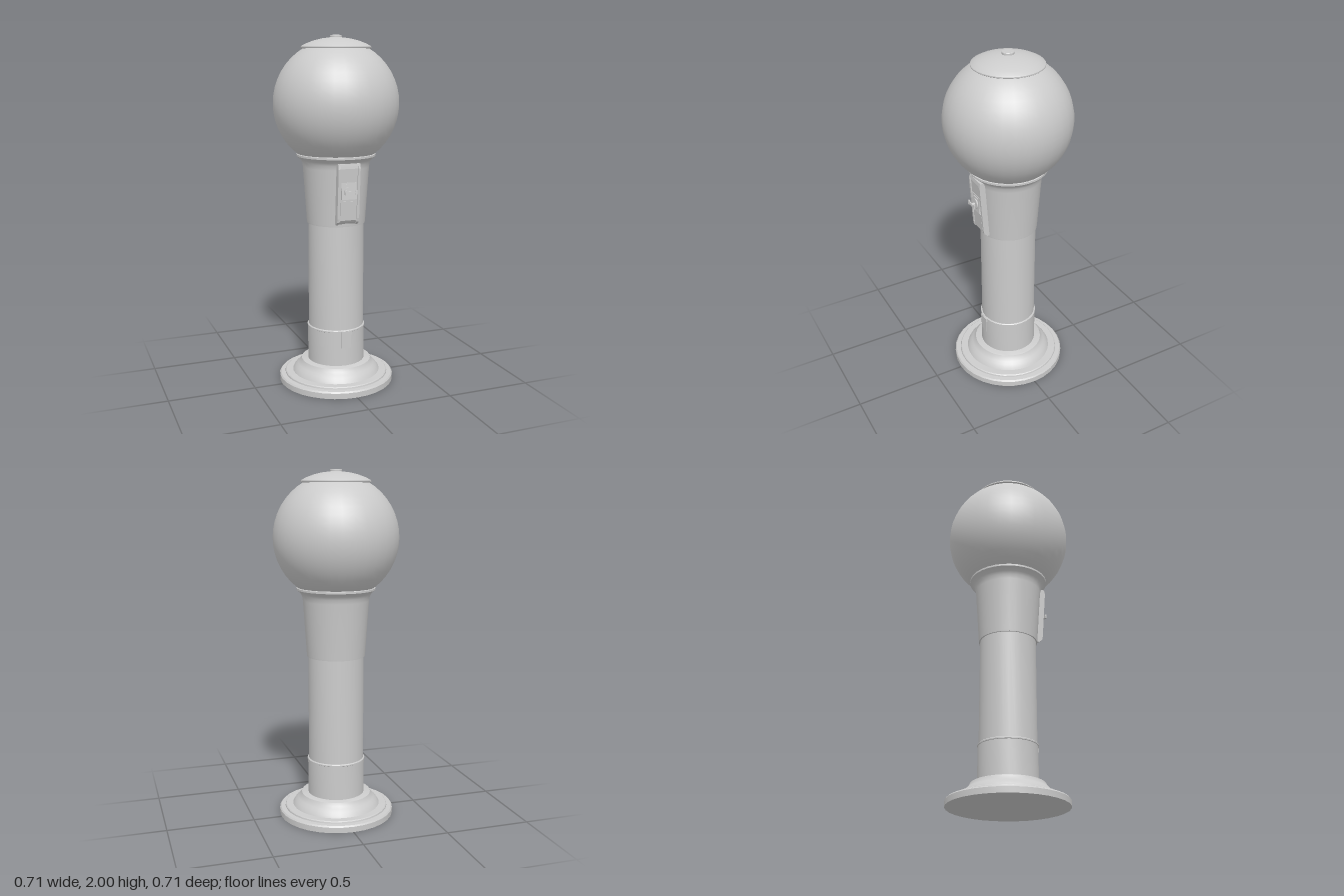
import * as THREE from 'three';
import { toCreasedNormals } from 'three/addons/utils/BufferGeometryUtils.js';

const SEGMENTS = 32;
const material = new THREE.MeshStandardMaterial({ color: 0xcccccc });

function addMesh(parent, name, geometry) {
  const mesh = new THREE.Mesh(geometry, material);
  mesh.name = name;
  parent.add(mesh);
  return mesh;
}

// Turned part from [radius, height] pairs, bottom to top
function turned(parent, name, profile) {
  const points = profile.map(([r, y]) => new THREE.Vector2(r, y));
  return addMesh(parent, name, toCreasedNormals(new THREE.LatheGeometry(points, SEGMENTS), 0.5));
}

// Side profile of [z, y] pairs, extruded across x
function sideExtrude(parent, name, profile, width, x = 0) {
  const shape = new THREE.Shape(profile.map(([z, y]) => new THREE.Vector2(z, y)));
  const geometry = new THREE.ExtrudeGeometry(shape, { depth: width, bevelEnabled: false });
  geometry.translate(0, 0, -width / 2).rotateY(-Math.PI / 2).translate(x, 0, 0);
  return addMesh(parent, name, geometry);
}

function box(parent, name, w, h, d, x, y, z) {
  const mesh = addMesh(parent, name, new THREE.BoxGeometry(w, h, d));
  mesh.position.set(x, y, z);
  return mesh;
}

// Cylinder facing the front
function disc(parent, name, r, depth, x, y, z) {
  const mesh = addMesh(parent, name, new THREE.CylinderGeometry(r, r, depth, 20));
  mesh.rotation.x = Math.PI / 2;
  mesh.position.set(x, y, z);
  return mesh;
}

export function createModel() {
  const model = new THREE.Group();
  model.name = 'gumballMachine';

  // Stepped foot with a concave flare
  turned(model, 'base', [
    [0, 0], [0.335, 0], [0.335, 0.032], [0.328, 0.04], [0.302, 0.042], [0.3, 0.05], [0.295, 0.054],
    [0.256, 0.055], [0.25, 0.066], [0.238, 0.082], [0.224, 0.095], [0.211, 0.108], [0.203, 0.125],
    [0.197, 0.128], [0, 0.128],
  ]);

  // Post and its lower sleeve
  turned(model, 'lowerSleeve', [
    [0.165, 0.12], [0.165, 0.328], [0.168, 0.33], [0.168, 0.337], [0.164, 0.341], [0.15, 0.341],
  ]);
  turned(model, 'column', [[0.16, 0.33], [0.16, 0.96]]);

  // Tapered body and collar that cradles the globe
  turned(model, 'body', [
    [0.155, 0.948], [0.167, 0.948], [0.168, 0.956], [0.189, 1.27], [0.193, 1.295],
    [0.202, 1.312], [0.219, 1.327], [0.225, 1.332], [0.225, 1.343], [0.217, 1.347], [0.2, 1.347],
  ]);

  const globe = addMesh(model, 'globe', new THREE.SphereGeometry(0.355, SEGMENTS, 24));
  globe.position.y = 1.624;

  // Shallow domed lid and button
  turned(model, 'lid', [
    [0.17, 1.927], [0.193, 1.927], [0.197, 1.93], [0.197, 1.936], [0.192, 1.941], [0.165, 1.955],
    [0.125, 1.97], [0.08, 1.981], [0.034, 1.987], [0, 1.988],
  ]);
  turned(model, 'lidButton', [[0.031, 1.982], [0.033, 1.985], [0.033, 1.997], [0.03, 2], [0, 2]]);

  // Coin mechanism housing: backing, raised side rails and cross pieces
  const coin = new THREE.Group();
  coin.name = 'coinMechanism';
  model.add(coin);
  sideExtrude(coin, 'housing', [
    [0.14, 0.965], [0.165, 0.965], [0.184, 0.985], [0.205, 1.28], [0.202, 1.305], [0.14, 1.308],
  ], 0.126);
  for (const side of [-1, 1]) {
    sideExtrude(coin, 'sideRail', [
      [0.15, 0.962], [0.168, 0.962], [0.188, 0.98], [0.192, 1], [0.212, 1.28], [0.207, 1.306], [0.15, 1.309],
    ], 0.014, side * 0.058);
  }
  sideExtrude(coin, 'topRail', [[0.18, 1.295], [0.209, 1.295], [0.207, 1.308], [0.18, 1.308]], 0.12);
  sideExtrude(coin, 'deliveryDoor', [
    [0.17, 0.978], [0.181, 0.978], [0.19, 0.99], [0.197, 1.098], [0.17, 1.098],
  ], 0.09);

  // Leaning coin plate with a turning handle
  const plate = new THREE.Group();
  plate.name = 'coinPlate';
  plate.position.set(0, 1.157, 0.199);
  plate.rotation.x = -0.07;
  coin.add(plate);
  box(plate, 'facePlate', 0.088, 0.094, 0.012, 0, 0, 0);
  box(plate, 'coinSlot', 0.05, 0.009, 0.006, 0, 0.032, 0.007);
  disc(plate, 'handleRing', 0.03, 0.01, 0, -0.006, 0.008);
  disc(plate, 'handleShaft', 0.008, 0.024, 0, -0.006, 0.018);
  box(plate, 'handleBar', 0.064, 0.011, 0.009, 0, -0.006, 0.032);
  for (const side of [-1, 1]) box(plate, 'handleTip', 0.012, 0.024, 0.009, side * 0.03, -0.006, 0.032);

  // Small access hatch and hinge cap on the sleeve
  box(model, 'hatch', 0.056, 0.085, 0.02, 0, 0.277, 0.157);
  box(model, 'hatchCap', 0.064, 0.022, 0.024, 0, 0.324, 0.159);

  return model;
}
